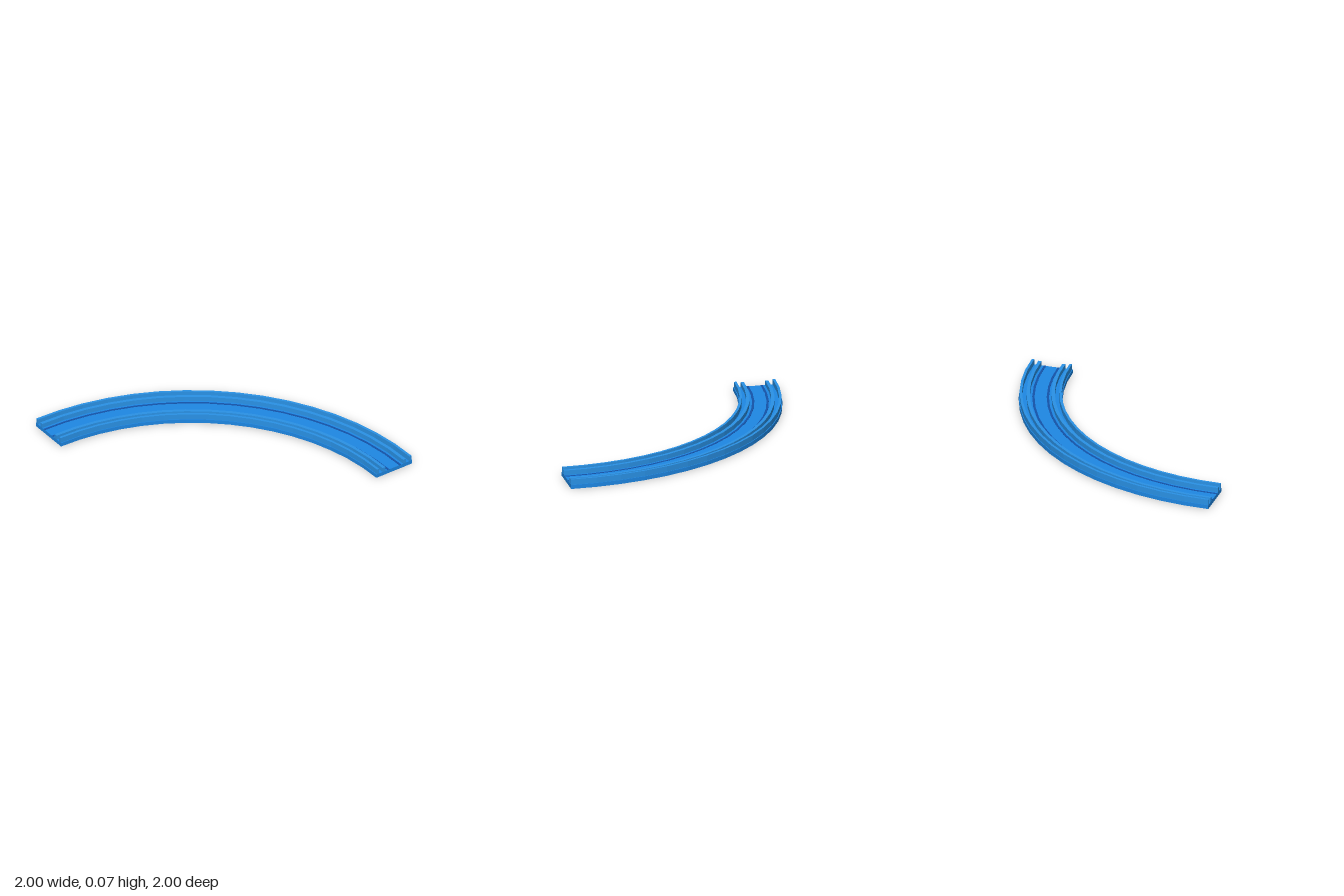
import * as THREE from 'three';

const STEPS = 16;    // facets in the quarter turn
const MID = 1.838;   // centre-line radius
const FLOOR = 0.03;  // top of the base slab

// Sweep a rectangular section (offsets a..b from the centre line, heights y0..y1) through a quarter turn.
function sweep(name, a, b, y0, y1, material) {
  const corners = [[a, y0], [b, y0], [b, y1], [a, y1]];
  const shape = new THREE.Shape(corners.map(([d, y]) => new THREE.Vector2(MID + d, y)));
  const geo = new THREE.ExtrudeGeometry(shape, { depth: 1, steps: STEPS, bevelEnabled: false });
  const p = geo.attributes.position;
  for (let i = 0; i < p.count; i++) {
    const r = p.getX(i);
    const t = (1 - p.getZ(i)) * Math.PI / 2;
    p.setXYZ(i, -1 + r * Math.cos(t), p.getY(i), 1 - r * Math.sin(t));
  }
  geo.computeVertexNormals();
  const mesh = new THREE.Mesh(geo, material);
  mesh.name = name;
  return mesh;
}

function paint(name, color) {
  const material = new THREE.MeshStandardMaterial({ color });
  material.name = name;
  return material;
}

export function createModel() {
  const baseBlue = paint('baseBlue', 0x1e88e5);
  const railBlue = paint('railBlue', 0x2a93e8);
  const stripeBlue = paint('stripeBlue', 0x1353aa);

  const group = new THREE.Group();
  group.name = 'curvedTrack';

  // Base slab, whose top is the lane floor
  group.add(sweep('baseSlab', -0.162, 0.162, 0, FLOOR, baseBlue));

  // Each side: tall rim, lower ridge and a dark stripe painted on the floor
  const addPair = (name, near, far, y0, y1, material) => {
    group.add(sweep(`${name}Outer`, near, far, y0, y1, material));
    group.add(sweep(`${name}Inner`, -far, -near, y0, y1, material));
  };
  addPair('rim', 0.137, 0.156, FLOOR, 0.072, railBlue);
  addPair('ridge', 0.080, 0.105, FLOOR, 0.065, railBlue);
  addPair('stripe', 0.045, 0.062, FLOOR, FLOOR + 0.0015, stripeBlue);
  return group;
}
